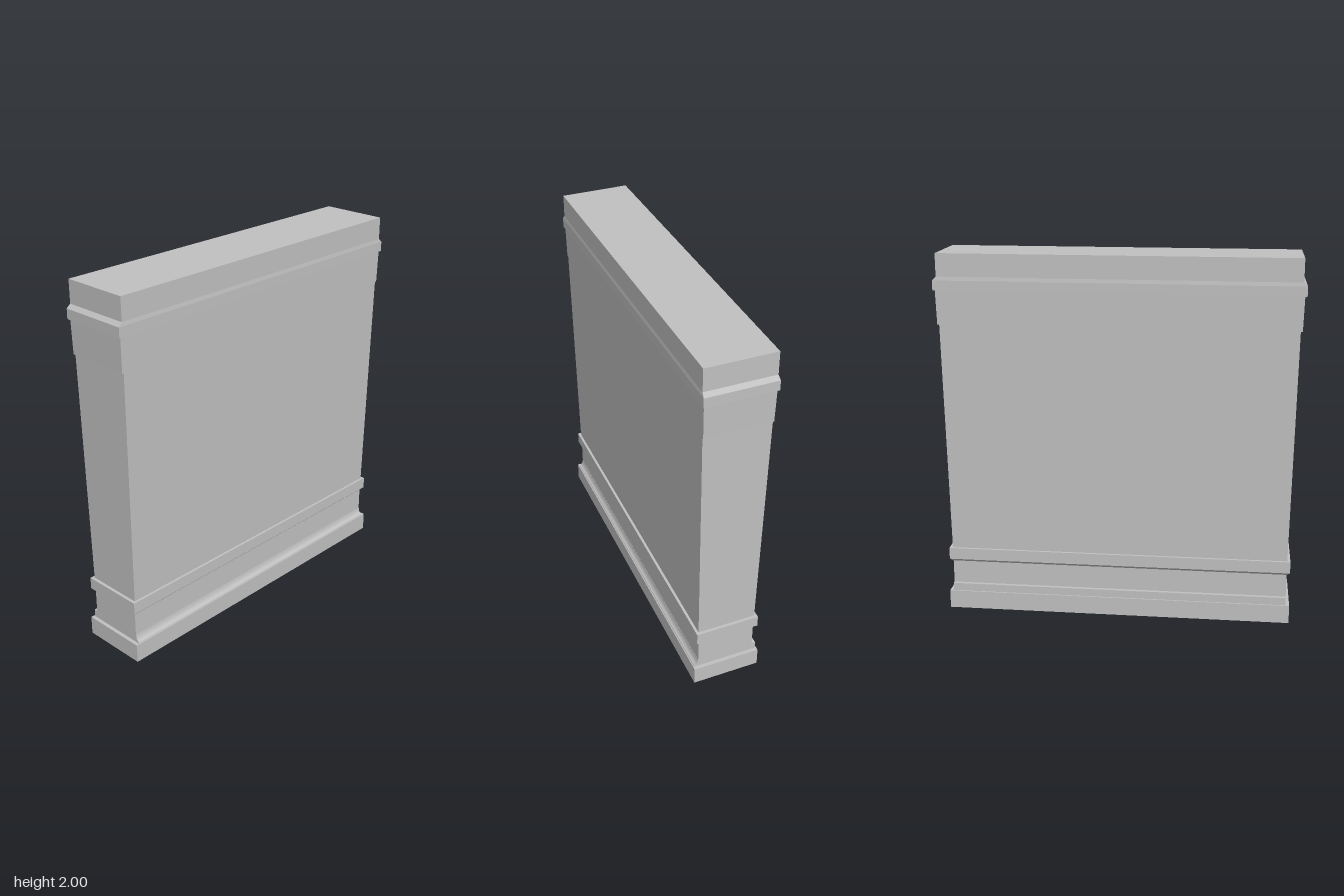
import * as THREE from 'three';

const stone = new THREE.MeshStandardMaterial({ color: 0xc0c0c0 });
stone.name = 'grey stone';

// Stack of rectangles [y, halfWidth, halfDepth], bottom to top, flat faces and capped ends
function block(name, sections) {
  const pos = [];
  const corners = ([y, w, d]) => [[-w, y, d], [w, y, d], [w, y, -d], [-w, y, -d]];
  const quad = (a, b, c, d) => pos.push(...a, ...b, ...c, ...a, ...c, ...d);
  const rings = sections.map(corners);
  for (let i = 0; i < rings.length - 1; i++) {
    const lo = rings[i], hi = rings[i + 1];
    for (let k = 0; k < 4; k++) {
      const n = (k + 1) % 4;
      quad(lo[k], lo[n], hi[n], hi[k]);
    }
  }
  quad(...rings[rings.length - 1]);
  quad(...rings[0].slice().reverse());
  const geo = new THREE.BufferGeometry();
  geo.setAttribute('position', new THREE.Float32BufferAttribute(pos, 3));
  geo.computeVertexNormals();
  const mesh = new THREE.Mesh(geo, stone);
  mesh.name = name;
  return mesh;
}

// Concave moulding running along the front of the base
function frontCove() {
  const s = new THREE.Shape();
  s.moveTo(0.15, 0.102);
  s.lineTo(0.18, 0.102);
  s.lineTo(0.178, 0.108);
  s.quadraticCurveTo(0.162, 0.115, 0.158, 0.145);
  s.lineTo(0.15, 0.145);
  s.closePath();
  const geo = new THREE.ExtrudeGeometry(s, { depth: 1.86, bevelEnabled: false, curveSegments: 12 });
  geo.translate(0, 0, -0.93);
  geo.rotateY(-Math.PI / 2);
  const mesh = new THREE.Mesh(geo, stone);
  mesh.name = 'frontCove';
  return mesh;
}

export function createModel() {
  const model = new THREE.Group();
  model.name = 'wallPanel';

  // Base
  model.add(block('plinth', [[0, 0.95, 0.185], [0.102, 0.95, 0.185]]));
  model.add(block('neck', [[0.102, 0.93, 0.157], [0.28, 0.93, 0.157]]));
  model.add(frontCove());
  const strip = new THREE.Mesh(new THREE.BoxGeometry(1.86, 0.043, 0.026), stone);
  strip.name = 'backStrip';
  strip.position.set(0, 0.1235, -0.164);
  model.add(strip);
  model.add(block('belt', [[0.275, 0.932, 0.159], [0.29, 0.947, 0.174], [0.355, 0.947, 0.174]]));

  // Tapered wall, widening upwards
  model.add(block('panel', [[0.355, 0.93, 0.16], [1.625, 0.945, 0.177]]));

  // Head
  model.add(block('frieze', [[1.625, 0.955, 0.178], [1.805, 0.959, 0.181]]));
  model.add(block('cornice', [[1.805, 0.97, 0.188], [1.858, 0.97, 0.188], [1.878, 0.95, 0.185]]));
  model.add(block('cap', [[1.878, 0.95, 0.185], [2, 0.95, 0.185]]));
  return model;
}
